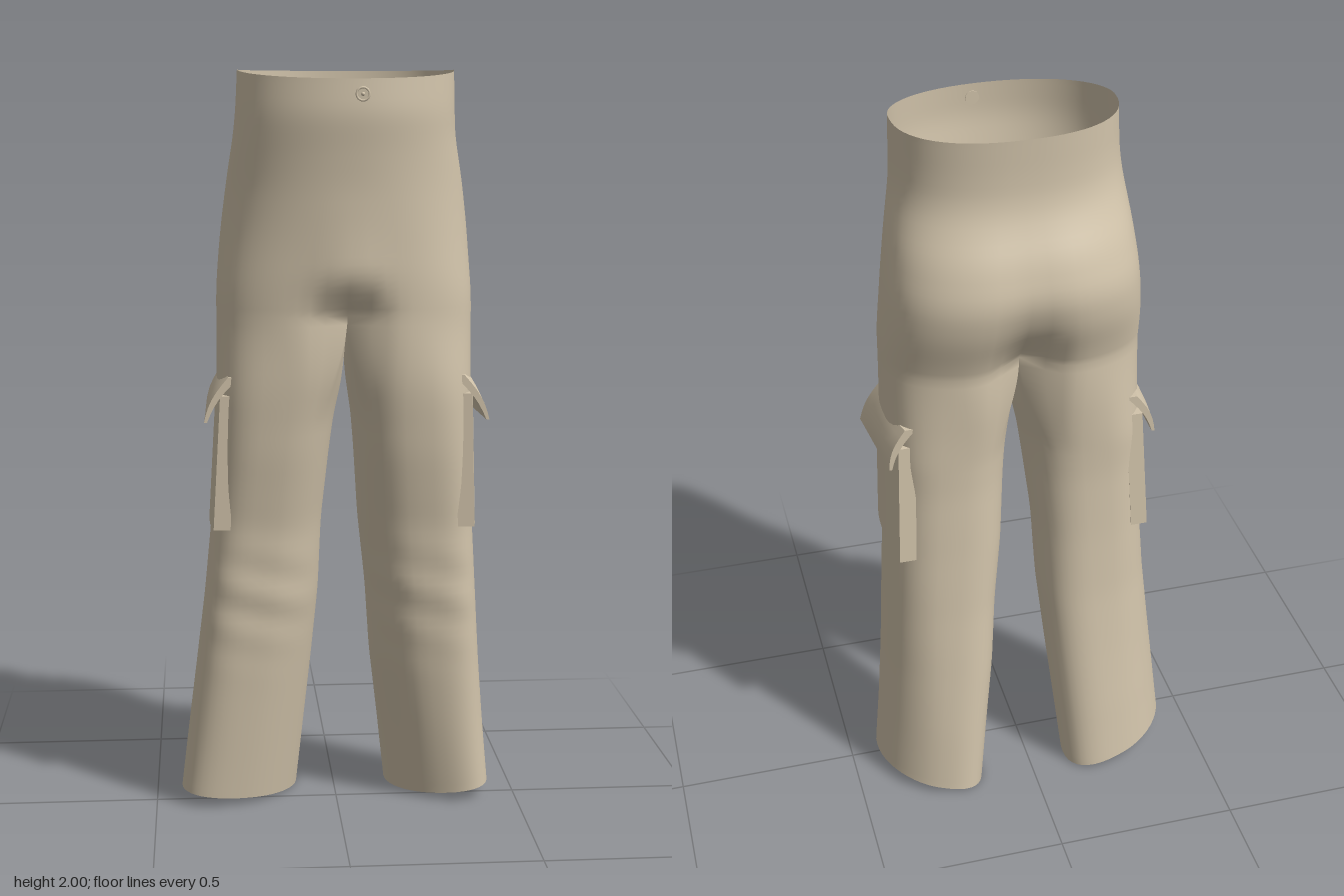
import * as THREE from 'three';

const fabric = new THREE.MeshStandardMaterial({ color: 0xd2c4ab, side: THREE.DoubleSide });
fabric.name = 'tan fabric';

// Torso rings: y, right x, left x, front z, back z, front cleft, back cleft
const TORSO = [
  [2.0, -0.26, 0.305, 0.24, -0.168, 0, 0],
  [1.9, -0.265, 0.307, 0.245, -0.165, 0, 0],
  [1.83, -0.272, 0.31, 0.237, -0.168, 0, 0],
  [1.77, -0.282, 0.322, 0.23, -0.19, 0, 0.003],
  [1.7, -0.292, 0.335, 0.223, -0.227, 0, 0.008],
  [1.6, -0.305, 0.348, 0.215, -0.254, -0.006, 0.013],
  [1.53, -0.312, 0.353, 0.21, -0.246, -0.013, 0.025],
  [1.47, -0.317, 0.357, 0.207, -0.228, -0.018, 0.042],
  [1.42, -0.32, 0.36, 0.203, -0.207, 0.012, 0.065],
  [1.37, -0.32, 0.36, 0.2, -0.193, 0.055, 0.085],
];
// Leg rings: y, right outer x, right inner x, left outer x, left inner x, front z, back z
const LEGS = [
  [1.37, -0.32, 0.016, 0.36, 0.02, 0.2, -0.193],
  [1.3, -0.32, 0.012, 0.36, 0.022, 0.195, -0.18],
  [1.2, -0.322, 0.006, 0.36, 0.03, 0.187, -0.172],
  [1.0, -0.328, -0.02, 0.362, 0.048, 0.165, -0.165],
  [0.8, -0.34, -0.04, 0.37, 0.062, 0.132, -0.17],
  [0.6, -0.36, -0.047, 0.382, 0.085, 0.12, -0.18],
  [0.4, -0.385, -0.065, 0.395, 0.1, 0.105, -0.197],
  [0.2, -0.408, -0.085, 0.41, 0.125, 0.09, -0.215],
  [0.0, -0.43, -0.105, 0.427, 0.148, 0.074, -0.23],
];
const CROTCH = 1.37;
const N = 32; // steps over the outside of one leg
const M = 12; // steps along the crotch seam
const { lerp, clamp, smoothstep } = THREE.MathUtils;

const power = (v, p) => Math.sign(v) * Math.abs(v) ** p;

// Linear lookup in a table sorted by falling y
function lookup(table, y) {
  let k = 0;
  while (k < table.length - 2 && y < table[k + 1][0]) k++;
  const f = (table[k][0] - y) / (table[k][0] - table[k + 1][0]);
  return table[k].map((v, i) => lerp(v, table[k + 1][i], f));
}

// Lookup with the corners between rows rounded off
function sample(table, y) {
  const rows = [-0.03, -0.015, 0, 0.015, 0.03].map((d) => lookup(table, y + d));
  return rows[0].map((_, i) => rows.reduce((sum, r) => sum + r[i], 0) / rows.length);
}

function torsoPoint(y, t) {
  const [, x0, x1, zf, zb, cf, cb] = sample(TORSO, y);
  const cx = (x0 + x1) / 2, zc = (zf + zb) / 2;
  const s = Math.sin(t), c = Math.cos(t);
  const low = smoothstep(1.8 - y, 0, 0.42);
  const p = c > 0 ? 0.95 - 0.2 * low : 0.86 - 0.1 * low;
  const dx = ((x1 - x0) / 2) * power(s, p);
  const fold = Math.exp(-((dx / 0.075) ** 2));
  const z = zc + ((zf - zb) / 2) * power(c, p) + fold * (c > 0 ? -cf : cb);
  const dip = 0.025 * Math.max(0, c) * clamp((y - 1.8) / 0.2, 0, 1);
  return new THREE.Vector3(cx + dx, y - dip, z);
}

function legPoint(y, side, a) {
  const r = sample(LEGS, y);
  const outer = side > 0 ? r[3] : r[1], inner = side > 0 ? r[4] : r[2];
  const s = Math.sin(a), c = Math.cos(a);
  // squarer on the outside of the thigh, rounder towards the hem
  const p = lerp(0.92, s > 0 ? 0.7 : 0.85, smoothstep(y, 0.1, 0.85));
  const x = (outer + inner) / 2 + ((outer - inner) / 2) * power(s, p);
  // the lower leg turns its outer side forward
  const turn = 0.065 * clamp(1 - y / 1.1, 0, 1);
  const half = (r[5] - r[6]) / 2;
  let z = (r[5] + r[6]) / 2 + Math.sqrt(half * half - turn * turn) * power(c, p) + turn * s;
  // soft folds at the knee
  z += 0.003 * Math.sin(y * 48 + x * 14) * Math.exp(-(((y - 0.6) / 0.13) ** 2)) * Math.max(0, c);
  const hem = 0.04 * (s + 1) / 2 * Math.max(0, 1 - y / 0.4);
  return new THREE.Vector3(x, y + hem, z);
}

// Trousers as one skin: torso rings that split into two legs at the seam
function trousers() {
  const pts = [], index = [];
  const add = (p) => pts.push(p) - 1;
  const skin = (upper, lower, flip) => {
    const n = upper.length;
    for (let i = 0; i < n; i++) {
      const j = (i + 1) % n;
      const [a, b, c, d] = [upper[i], upper[j], lower[i], lower[j]];
      if (flip) index.push(a, b, c, b, d, c);
      else index.push(a, c, b, b, c, d);
    }
  };
  let ring = null;
  const torsoSteps = 32;
  for (let k = 0; k <= torsoSteps; k++) {
    const y = 2 - (2 - CROTCH) * k / torsoSteps;
    const next = [];
    for (let i = 0; i < 2 * N; i++) next.push(add(torsoPoint(y, i / N * Math.PI)));
    if (ring) skin(ring, next, false);
    ring = next;
  }
  // sagging seam between the legs
  const front = pts[ring[0]], back = pts[ring[N]], seam = [];
  for (let i = 1; i < M; i++) {
    const p = back.clone().lerp(front, i / M);
    p.y -= 0.035 * Math.sin(i / M * Math.PI);
    seam.push(add(p));
  }
  const legSteps = 56, wrap = 0.7;
  for (const side of [1, -1]) {
    const top = [];
    for (let i = 0; i <= N; i++) top.push(ring[side > 0 ? i : (2 * N - i) % (2 * N)]);
    top.push(...seam);
    let upper = top;
    for (let k = 1; k <= legSteps; k++) {
      const y = CROTCH * (1 - k / legSteps);
      const b = smoothstep(CROTCH - y, 0, 0.3);
      const lower = top.map((id, i) => {
        const a = i <= N
          ? -wrap + i / N * (Math.PI + 2 * wrap)
          : Math.PI + wrap + (i - N) / M * (Math.PI - 2 * wrap);
        const start = pts[id].clone();
        start.y += y - CROTCH;
        return add(start.lerp(legPoint(y, side, a), b));
      });
      skin(upper, lower, side < 0);
      upper = lower;
    }
  }
  const geo = new THREE.BufferGeometry().setFromPoints(pts);
  geo.setIndex(index);
  geo.computeVertexNormals();
  return geo;
}

// Box whose corners are placed by rule(u, v, w): u outward, v down, w forward, all 0..1
function shapedBox(rule) {
  const geo = new THREE.BoxGeometry(1, 1, 1, 1, 6, 8);
  const p = geo.attributes.position;
  for (let i = 0; i < p.count; i++) {
    p.setXYZ(i, ...rule(p.getX(i) + 0.5, 0.5 - p.getY(i), p.getZ(i) + 0.5));
  }
  geo.computeVertexNormals();
  return geo;
}

function cargoPocket(side) {
  const group = new THREE.Group();
  group.name = side > 0 ? 'leftCargoPocket' : 'rightCargoPocket';
  const [topX, lowX] = side > 0 ? [0.362, 0.374] : [0.324, 0.345];
  const bag = shapedBox((u, v, w) => {
    // edges bend back towards the leg
    const edge = Math.abs(2 * w - 1) ** 3 * (w < 0.5 ? 0.014 : 0.01);
    return [
      lerp(topX, lowX, v) - edge - 0.045 * (1 - u),
      lerp(1.16, 0.797 + 0.012 * (1 - w), v),
      lerp(lerp(-0.135, -0.152, v), lerp(0.137, 0.125, v), w),
    ];
  });
  const [flapTop, flapBack, flapFront] = side > 0 ? [0.348, 0.375, 0.398] : [0.31, 0.345, 0.357];
  const flap = shapedBox((u, v, w) => {
    const edge = (2 * w - 1) ** 2 * (1 - v);
    const bow = 0.012 * Math.sin(v * Math.PI);
    return [
      lerp(flapTop, lerp(flapBack, flapFront, w), v) - 0.018 * edge + bow - lerp(0.03, 0.008, v) * (1 - u),
      lerp(1.218 - 0.008 * w, 1.09 + 0.012 * (1 - w), v),
      lerp(-0.138, 0.138, w),
    ];
  });
  for (const [name, geo] of [['pocketBag', bag], ['pocketFlap', flap]]) {
    if (side < 0) {
      // mirror to the other leg and turn the faces back outward
      geo.scale(-1, 1, 1);
      const id = geo.index.array;
      for (let i = 0; i < id.length; i += 3) [id[i], id[i + 1]] = [id[i + 1], id[i]];
      geo.computeVertexNormals();
    }
    const mesh = new THREE.Mesh(geo, fabric);
    mesh.name = name;
    group.add(mesh);
  }
  return group;
}

// Waist button with a raised rim and a centre stud
function waistButton() {
  const group = new THREE.Group();
  group.name = 'waistButton';
  const parts = {
    buttonDisc: new THREE.CylinderGeometry(0.018, 0.018, 0.01, 24).rotateX(Math.PI / 2),
    buttonRim: new THREE.TorusGeometry(0.016, 0.003, 8, 24).translate(0, 0, 0.004),
    buttonStud: new THREE.SphereGeometry(0.005, 12, 8).translate(0, 0, 0.005),
  };
  for (const [name, geo] of Object.entries(parts)) {
    const mesh = new THREE.Mesh(geo, fabric);
    mesh.name = name;
    group.add(mesh);
  }
  group.position.set(0.05, 1.937, 0.243);
  return group;
}

export function createModel() {
  const model = new THREE.Group();
  model.name = 'cargoTrousers';
  const body = new THREE.Mesh(trousers(), fabric);
  body.name = 'trousers';
  model.add(body, cargoPocket(1), cargoPocket(-1), waistButton());
  return model;
}
